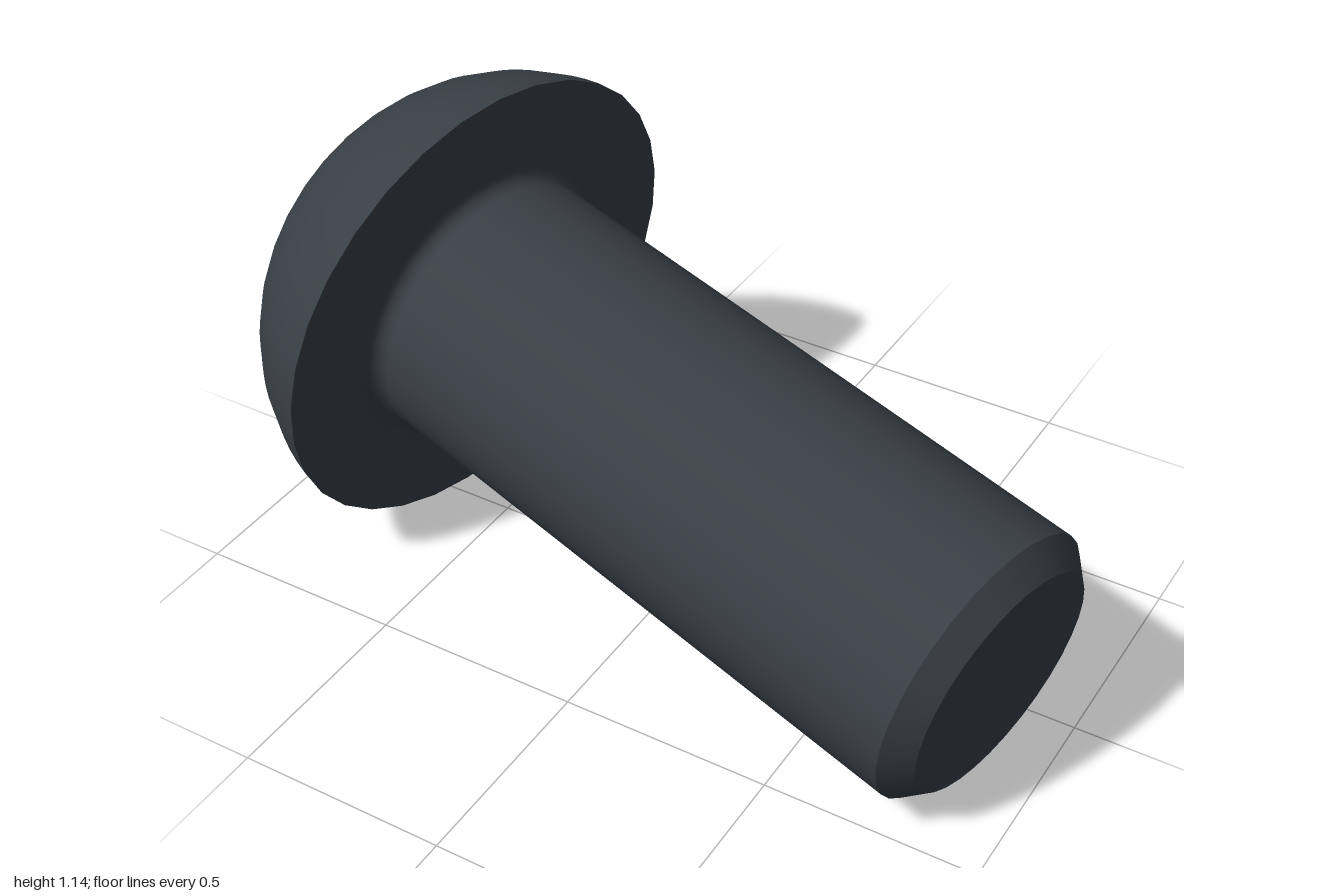
import * as THREE from 'three';

const SEG = 32;
const R_SHAFT = 0.33, R_TIP = 0.274, LENGTH = 1.54;
const R_HEAD = 0.579, R_TOP = 0.325, HEAD = 0.363;
const APOTHEM = 0.22, R_HEX = APOTHEM / Math.cos(Math.PI / 6), DEPTH = 0.23;

const steel = new THREE.MeshStandardMaterial({ color: 0x383f46 });
steel.name = 'dark steel';

// Sample an arc of the lathe profile
function arc(cx, cy, r, a0, a1, n) {
  return Array.from({ length: n + 1 }, (_, i) => {
    const a = a0 + (a1 - a0) * i / n;
    return [cx + r * Math.cos(a), cy + r * Math.sin(a)];
  });
}

// Six-sided recess: a lathe whose round wall is pulled in to a hexagon,
// with a conical lead-in that meets the flats in curved edges
function socketGeometry() {
  const floor = HEAD - DEPTH;
  const profile = [[R_HEX, HEAD], [R_HEX, HEAD], [R_HEX, floor], [0, floor]];
  const g = new THREE.LatheGeometry(profile.map(p => new THREE.Vector2(...p)), 48);
  const pos = g.attributes.position;
  const rows = profile.length;
  for (let i = 0; i < pos.count; i++) {
    const row = i % rows;
    if (row !== 1 && row !== 2) continue;
    const phi = Math.floor(i / rows) / 48 * Math.PI * 2;
    const r = APOTHEM / Math.cos((phi % (Math.PI / 3)) - Math.PI / 6);
    const y = row === 1 ? HEAD - Math.max(0, R_HEX - r) : floor;
    pos.setXYZ(i, r * Math.sin(phi), y, r * Math.cos(phi));
  }
  const flat = g.toNonIndexed();
  flat.computeVertexNormals();
  return flat;
}

export function createModel() {
  const model = new THREE.Group();
  model.name = 'buttonHeadScrew';
  const screw = new THREE.Group();
  screw.name = 'screw';
  model.add(screw);

  const add = (name, geometry) => {
    const mesh = new THREE.Mesh(geometry, steel);
    mesh.name = name;
    screw.add(mesh);
  };
  // Each profile runs bottom to top; separate pieces keep the edges sharp
  const turn = (name, points) =>
    add(name, new THREE.LatheGeometry(points.map(p => new THREE.Vector2(...p)), SEG));

  // Shaft with chamfered tip and a small fillet under the head
  const chamfer = R_SHAFT - R_TIP, fillet = 0.035;
  turn('tipFace', [[0, -LENGTH], [R_TIP, -LENGTH]]);
  turn('tipChamfer', [[R_TIP, -LENGTH], [R_SHAFT, -LENGTH + chamfer]]);
  turn('shaft', [[R_SHAFT, -LENGTH + chamfer],
    ...arc(R_SHAFT + fillet, -fillet, fillet, Math.PI, Math.PI / 2, 5)]);

  // Head: flat underside, domed side, flat top ring
  turn('headUnderside', [[R_SHAFT + fillet, 0], [R_HEAD, 0]]);
  const cx = 0.05;
  const cy = ((R_TOP - cx) ** 2 + HEAD ** 2 - (R_HEAD - cx) ** 2) / (2 * HEAD);
  turn('headDome', arc(cx, cy, Math.hypot(R_HEAD - cx, cy),
    Math.atan2(-cy, R_HEAD - cx), Math.atan2(HEAD - cy, R_TOP - cx), 12));
  turn('headTopRing', [[R_TOP, HEAD], [R_HEX, HEAD]]);
  add('hexSocket', socketGeometry());

  // Tilt the screw: local y points out of the head, local z stays uppermost
  const axis = new THREE.Vector3(-1, 0.168, -0.21).normalize();
  const up = new THREE.Vector3(0, 1, 0).addScaledVector(axis, -axis.y).normalize();
  const side = new THREE.Vector3().crossVectors(axis, up);
  screw.quaternion.setFromRotationMatrix(new THREE.Matrix4().makeBasis(side, axis, up));
  screw.position.set(-0.562, 0.573, -0.032);
  return model;
}
